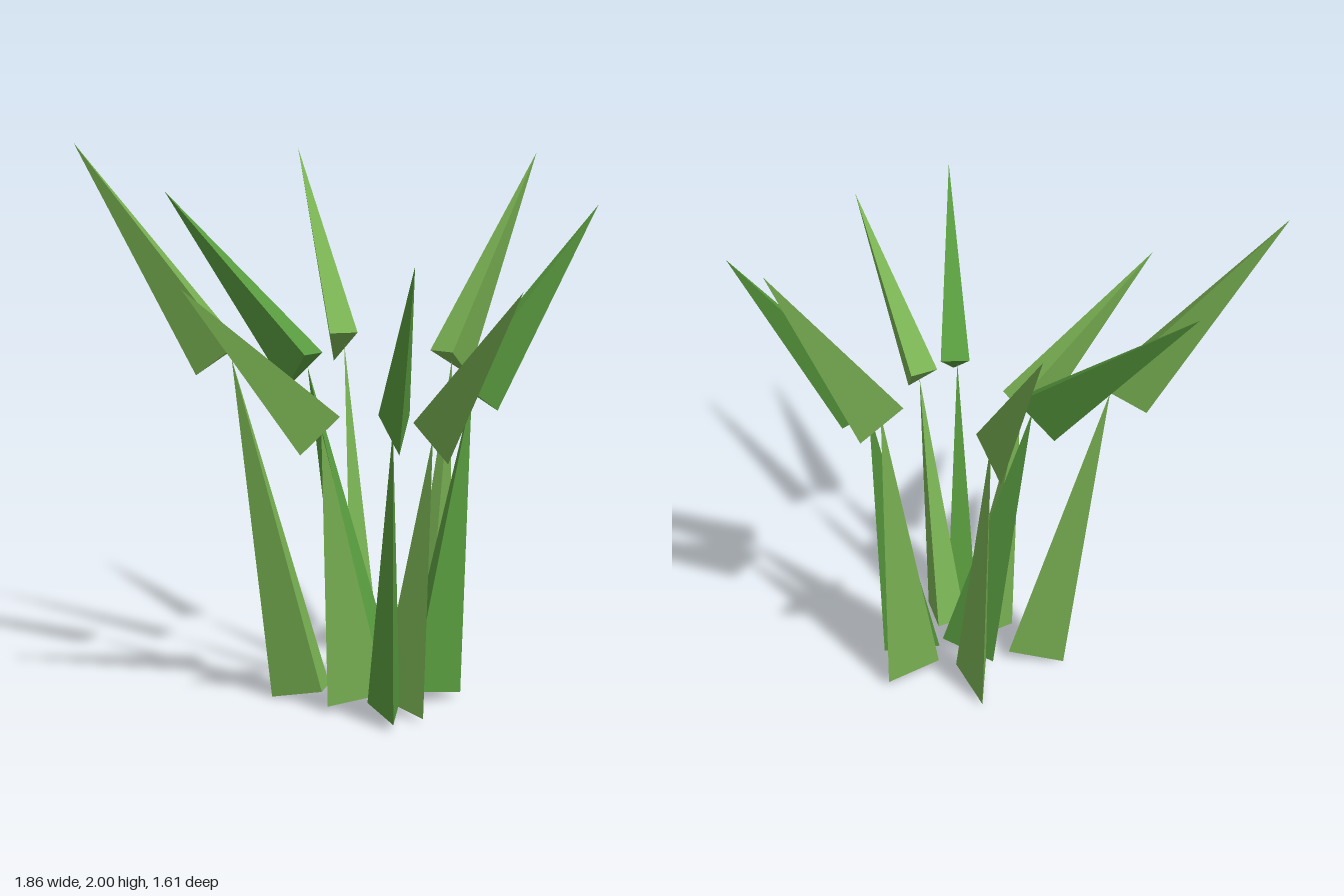
import * as THREE from 'three';

// Each blade: inner-edge midpoint and tip of the lower stalk, then of the upper leaf
const BLADES = [
  { tone: 'light', stalk: [[0.078, 0.05, -0.118], [0.06, 1.22, -0.33]], leaf: [[0.06, 1.25, -0.275], [0.02, 1.95, -0.81]] },
  { tone: 'deep', stalk: [[0.135, 0.055, -0.035], [0.24, 1.12, -0.25]], leaf: [[0.22, 1.16, -0.20], [0.455, 1.78, -0.67]] },
  { tone: 'light', stalk: [[-0.07, 0.055, -0.03], [-0.35, 1.25, -0.172]], leaf: [[-0.35, 1.29, -0.17], [-0.935, 1.95, -0.46]] },
  { tone: 'deep', stalk: [[0.123, 0.055, 0.033], [-0.23, 1.2, 0.115]], leaf: [[-0.2, 1.25, 0.112], [-0.88, 1.81, 0.25]] },
  { tone: 'light', stalk: [[-0.075, 0.052, 0.172], [-0.355, 1.24, 0.365]], leaf: [[-0.34, 1.285, 0.355], [-0.82, 2.0, 0.70]] },
  { tone: 'light', stalk: [[0.092, 0.058, 0.072], [0.04, 1.02, 0.29]], leaf: [[0.045, 1.07, 0.242], [-0.085, 1.535, 0.80]] },
  { tone: 'deep', stalk: [[0.213, 0.055, 0.155], [0.37, 1.06, 0.26]], leaf: [[0.333, 1.10, 0.22], [0.755, 1.65, 0.53]] },
  { tone: 'light', stalk: [[0.168, 0.055, 0.068], [0.42, 1.02, 0.12]], leaf: [[0.378, 1.07, 0.11], [0.925, 1.56, 0.215]] },
];

// Three-sided spike whose base is square to its axis, with one corner pointing outward
function spike(name, [innerPoint, tipPoint], width, depth, material) {
  const inner = new THREE.Vector3(...innerPoint);
  const v = new THREE.Vector3(...tipPoint).sub(inner);
  const radial = new THREE.Vector3(v.x, 0, v.z);
  const reach = radial.length();
  radial.normalize();

  // Lean angle that brings the apex over the centre of the base
  const k = depth / 3;
  const length = Math.sqrt(v.lengthSq() - k * k);
  const lean = Math.atan2(reach, v.y) - Math.atan2(k, length);
  const up = new THREE.Vector3(0, 1, 0);
  const axis = radial.clone().multiplyScalar(Math.sin(lean)).addScaledVector(up, Math.cos(lean));
  const out = radial.clone().multiplyScalar(Math.cos(lean)).addScaledVector(up, -Math.sin(lean));
  const side = new THREE.Vector3().crossVectors(axis, out);

  const cone = new THREE.ConeGeometry(1, 1, 3);
  cone.translate(0, 0.5, 0.5);
  cone.scale(width / Math.sqrt(3), length, depth / 1.5);
  cone.applyMatrix4(new THREE.Matrix4().makeBasis(side, axis, out).setPosition(inner));
  const geometry = cone.toNonIndexed();
  geometry.computeVertexNormals();

  const mesh = new THREE.Mesh(geometry, material);
  mesh.name = name;
  return mesh;
}

export function createModel() {
  const materials = {
    light: new THREE.MeshStandardMaterial({ color: 0x78b052 }),
    deep: new THREE.MeshStandardMaterial({ color: 0x589a3e }),
  };
  materials.light.name = 'light grass green';
  materials.deep.name = 'deep grass green';

  const plant = new THREE.Group();
  plant.name = 'grassTuft';
  BLADES.forEach(({ tone, stalk, leaf }, i) => {
    const blade = new THREE.Group();
    blade.name = `blade${i + 1}`;
    blade.add(
      spike('lowerStalk', stalk, 0.115, 0.205, materials[tone]),
      spike('upperLeaf', leaf, 0.107, 0.185, materials[tone]),
    );
    plant.add(blade);
  });
  return plant;
}
